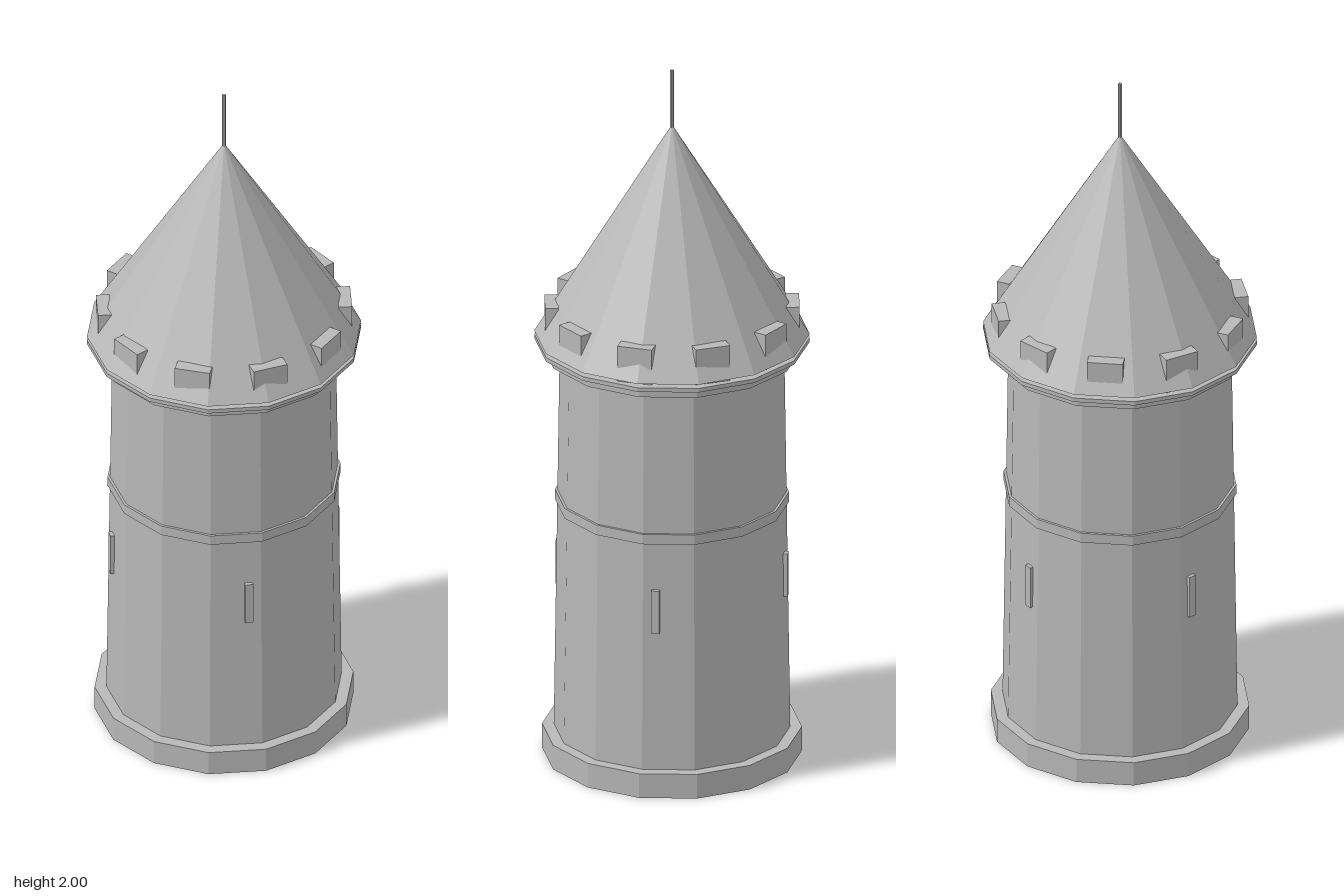
import * as THREE from 'three';

const SIDES = 14;

export function createModel() {
  const tower = new THREE.Group();
  tower.name = 'tower';
  const stone = new THREE.MeshStandardMaterial({ color: 0xb8b8b8, flatShading: true });
  stone.name = 'grey stone';

  function add(name, geometry, parent = tower) {
    const mesh = new THREE.Mesh(geometry, stone);
    mesh.name = name;
    parent.add(mesh);
    return mesh;
  }

  // Faceted drum between two heights
  function drum(name, y0, y1, r0, r1 = r0, sides = SIDES) {
    const mesh = add(name, new THREE.CylinderGeometry(r1, r0, y1 - y0, sides));
    mesh.position.y = (y0 + y1) / 2;
    return mesh;
  }

  // Boxes spaced evenly round the tower, facing outward
  function ring(name, count, start, radius, y, width, height, depth) {
    const group = new THREE.Group();
    group.name = name + 's';
    tower.add(group);
    const geometry = new THREE.BoxGeometry(width, height, depth);
    for (let i = 0; i < count; i++) {
      const a = start + (i / count) * Math.PI * 2;
      const box = add(name, geometry, group);
      box.position.set(Math.sin(a) * radius, y, Math.cos(a) * radius);
      box.rotation.y = a;
    }
  }

  // Walls, from plinth to parapet
  drum('plinth', 0, 0.071, 0.353);
  drum('wall', 0.071, 1.18, 0.321, 0.305);
  drum('stringCourse', 0.733, 0.762, 0.318);
  drum('collar', 1.18, 1.205, 0.351);
  drum('parapetFloor', 1.205, 1.217, 0.374);

  // Roof and its spike
  const roof = add('roof', new THREE.ConeGeometry(0.374, 0.612, SIDES));
  roof.position.y = 1.228 + 0.306;
  drum('spike', 1.83, 2, 0.005, 0.005, 6);

  // Merlons and arrow slits
  ring('merlon', 10, Math.PI / 2, 0.327, 1.268, 0.098, 0.104, 0.037);
  ring('arrowSlit', 4, Math.PI / 4, 0.3125, 0.535, 0.022, 0.125, 0.012);

  return tower;
}
